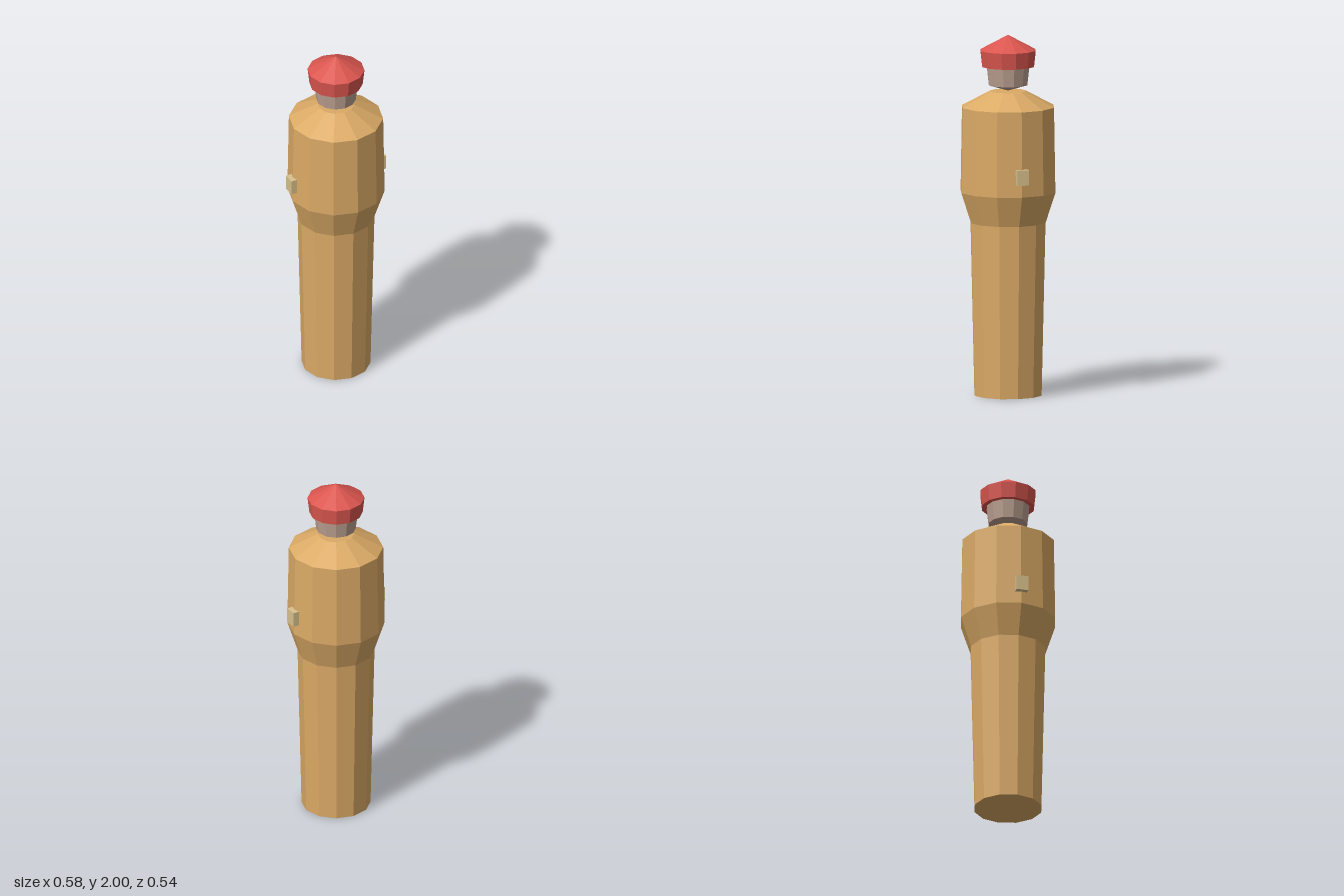
import * as THREE from 'three';

const SIDES = 12;

// Twelve-sided faceted solid from a [radius, height] profile, bottom to top
function facetedLathe(name, profile, material) {
  const points = profile.map(([r, y]) => new THREE.Vector2(r, y));
  const geometry = new THREE.LatheGeometry(points, SIDES).toNonIndexed();
  geometry.computeVertexNormals();
  const mesh = new THREE.Mesh(geometry, material);
  mesh.name = name;
  return mesh;
}

function makeMaterial(name, color) {
  const material = new THREE.MeshStandardMaterial({ color });
  material.name = name;
  return material;
}

export function createModel() {
  const model = new THREE.Group();
  model.name = 'pegFigure';

  const tan = makeMaterial('tan', 0xdbaa66);
  const taupe = makeMaterial('taupe', 0xbba090);
  const red = makeMaterial('red', 0xdb564f);
  const sand = makeMaterial('sand', 0xd8c18b);

  // Tapered legs, flared torso and sloping shoulders
  model.add(facetedLathe('body', [
    [0, 0], [0.19, 0], [0.212, 0.96], [0.268, 1.13],
    [0.26, 1.602], [0.1, 1.688], [0, 1.688],
  ], tan));

  // Head with a shallow pointed underside
  model.add(facetedLathe('head', [
    [0, 1.69], [0.109, 1.722], [0.121, 1.826], [0, 1.826],
  ], taupe));

  // Cap with a conical top
  model.add(facetedLathe('cap', [
    [0, 1.825], [0.147, 1.825], [0.157, 1.915], [0, 2],
  ], red));

  // Small side pegs
  for (const side of [1, -1]) {
    const peg = new THREE.Mesh(new THREE.BoxGeometry(0.07, 0.085, 0.067), sand);
    peg.name = side > 0 ? 'leftPeg' : 'rightPeg';
    peg.position.set(side * 0.257, 1.242, 0);
    model.add(peg);
  }

  return model;
}
